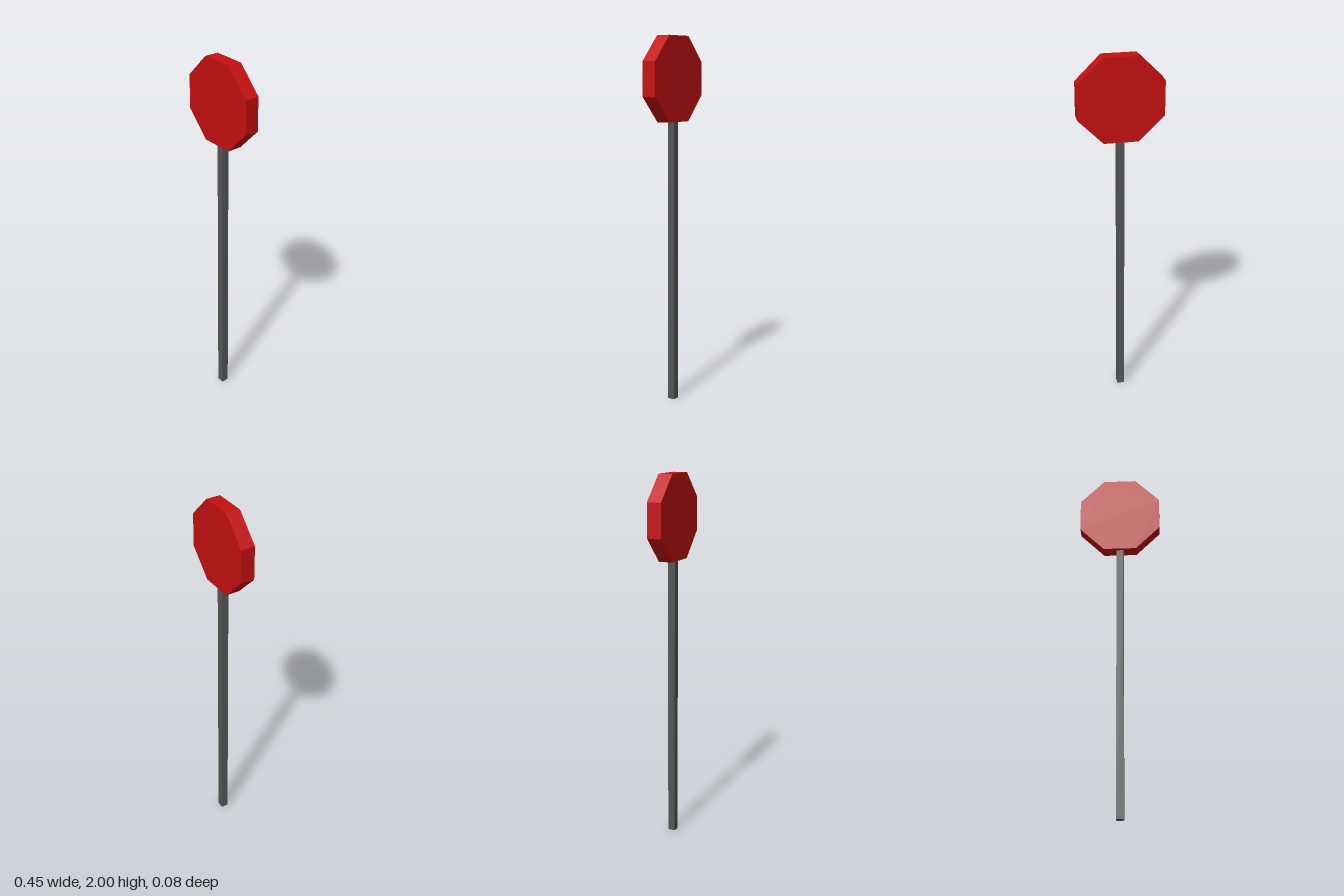
import * as THREE from 'three';

export function createModel() {
  const model = new THREE.Group();
  const red = new THREE.MeshStandardMaterial({ color: 0xc41010, flatShading: true });
  const grey = new THREE.MeshStandardMaterial({ color: 0x555555, flatShading: true });

  // Square post, standing on the ground and meeting the plate's lower edge
  const postHeight = 1.55, postWidth = 0.04;
  const post = new THREE.Mesh(new THREE.BoxGeometry(postWidth, postHeight, postWidth), grey);
  post.name = 'post';
  post.position.y = postHeight / 2;
  model.add(post);

  // Thick octagonal plate with a flat edge at the top and bottom
  const half = 0.227, edge = 0.092, depth = 0.078;
  const octagon = new THREE.Shape([
    [edge, -half], [half, -edge], [half, edge], [edge, half],
    [-edge, half], [-half, edge], [-half, -edge], [-edge, -half],
  ].map(([x, y]) => new THREE.Vector2(x, y)));
  const plateGeometry = new THREE.ExtrudeGeometry(octagon, { depth, bevelEnabled: false });
  plateGeometry.translate(0, 0, -depth / 2);
  const plate = new THREE.Mesh(plateGeometry, red);
  plate.name = 'signPlate';
  plate.position.y = 2 - half;
  model.add(plate);

  return model;
}
